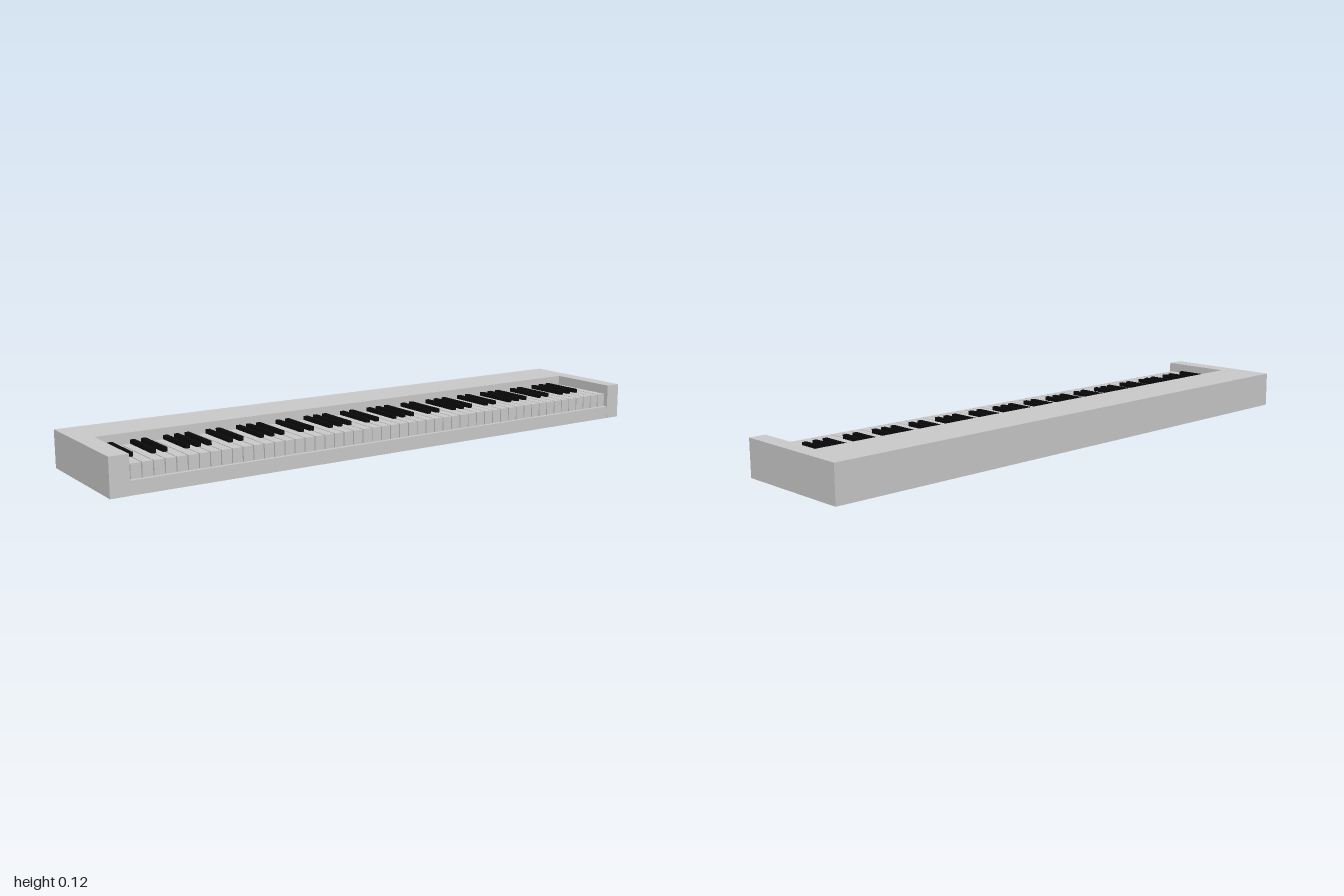
import * as THREE from 'three';

const grey = new THREE.MeshStandardMaterial({ color: 0xcccccc });
const black = new THREE.MeshStandardMaterial({ color: 0x0a0a0a });

// Box given by its min and max corners
function block(name, material, [x0, y0, z0], [x1, y1, z1]) {
  const mesh = new THREE.Mesh(new THREE.BoxGeometry(x1 - x0, y1 - y0, z1 - z0), material);
  mesh.name = name;
  mesh.position.set((x0 + x1) / 2, (y0 + y1) / 2, (z0 + z1) / 2);
  return mesh;
}

export function createModel() {
  const piano = new THREE.Group();
  piano.name = 'digitalPiano';

  const left = -0.938, right = 0.945;      // sides of the key recess
  const back = -0.213, front = 0.213, recessBack = -0.043;
  const height = 0.122, bedTop = 0.044;

  // U-shaped case: rear housing with two cheek blocks
  const outline = new THREE.Shape([
    [-1, back], [1, back], [1, front], [right, front],
    [right, recessBack], [left, recessBack], [left, front], [-1, front],
  ].map(([x, z]) => new THREE.Vector2(x, -z)));
  const caseGeometry = new THREE.ExtrudeGeometry(outline, { depth: height, bevelEnabled: false });
  caseGeometry.rotateX(-Math.PI / 2);
  const body = new THREE.Mesh(caseGeometry, grey);
  body.name = 'case';
  piano.add(body);

  // Key bed, ending in a low lip ahead of the keys
  piano.add(block('keyBed', grey, [left, 0, recessBack], [right, bedTop, 0.212]));

  // 52 white keys, starting on A
  const whiteKeys = new THREE.Group();
  whiteKeys.name = 'whiteKeys';
  const blackKeys = new THREE.Group();
  blackKeys.name = 'blackKeys';
  const count = 52, start = -0.932, pitch = (0.943 - start) / count, gap = 0.0035;
  const keyBack = -0.029, keyFront = 0.2;
  const sharps = [0, 2, 3, 5, 6];          // A, C, D, F, G carry a sharp
  for (let i = 0; i < count; i++) {
    const x = start + i * pitch;
    whiteKeys.add(block('whiteKey', grey,
      [x + gap / 2, bedTop, keyBack], [x + pitch - gap / 2, 0.09, keyFront]));
    if (i < count - 1 && sharps.includes(i % 7)) {
      const c = x + pitch;
      blackKeys.add(block('blackKey', black,
        [c - 0.0075, bedTop, keyBack - 0.001], [c + 0.0075, 0.103, 0.124]));
    }
  }
  piano.add(whiteKeys, blackKeys);
  return piano;
}
